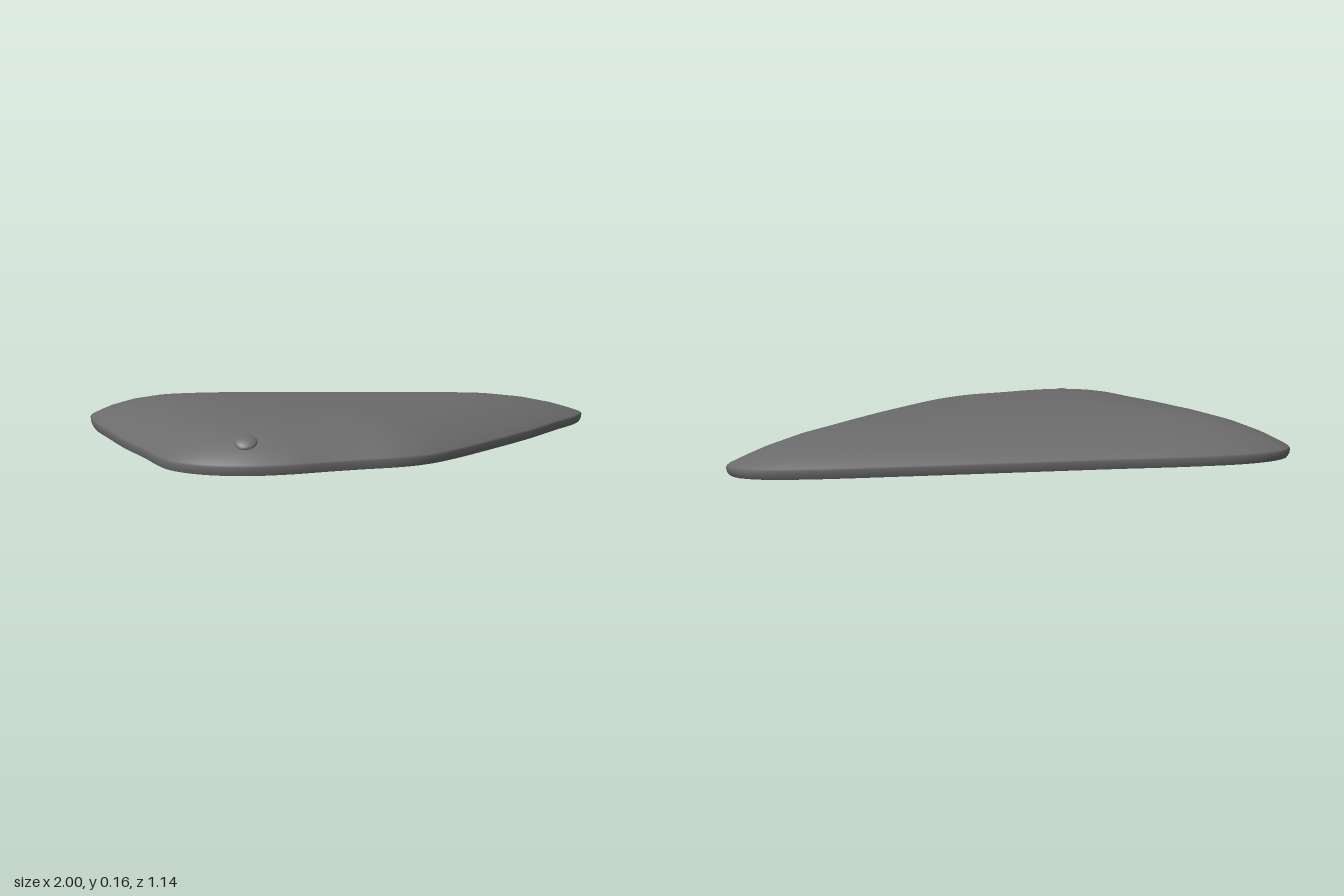
import * as THREE from 'three';

// Plan outline of the shell (x, z), clockwise seen from above
const OUTLINE = [
  [-1, -0.36], [-0.98, -0.42], [-0.92, -0.468], [-0.8, -0.507], [-0.6, -0.527], [-0.3, -0.535],
  [0, -0.548], [0.4, -0.565], [0.75, -0.573], [0.9, -0.555], [0.97, -0.52], [1, -0.47],
  [0.975, -0.39], [0.88, -0.26], [0.75, -0.08], [0.6, 0.1], [0.45, 0.27], [0.36, 0.355],
  [0.26, 0.412], [0.1, 0.46], [0, 0.492], [-0.15, 0.544], [-0.3, 0.57], [-0.45, 0.55],
  [-0.56, 0.49], [-0.62, 0.41], [-0.68, 0.3], [-0.78, 0.14], [-0.88, -0.05], [-0.955, -0.2],
];

// Section from foot to crown: [scale of outline, height]
const SECTION = [
  [0.99, 0], [0.997, 0.012], [1, 0.03], [0.993, 0.037], [0.95, 0.056], [0.9, 0.076], [0.8, 0.106],
  [0.7, 0.126], [0.6, 0.138], [0.5, 0.146], [0.35, 0.153], [0.2, 0.156], [0.08, 0.157], [0, 0.157],
];
const CENTRE = { x: -0.15, z: 0.04 };

function shellGeometry(around = 160) {
  const curve = new THREE.CatmullRomCurve3(
    OUTLINE.map(([x, z]) => new THREE.Vector3(x, 0, z)), true, 'centripetal');
  const ring = curve.getSpacedPoints(around).slice(0, around);
  const pos = [], index = [];
  for (const [s, y] of SECTION) {
    for (const p of ring) {
      pos.push(CENTRE.x + (p.x - CENTRE.x) * s, y, CENTRE.z + (p.z - CENTRE.z) * s);
    }
  }
  for (let i = 0; i < SECTION.length - 1; i++) {
    for (let j = 0; j < around; j++) {
      const k = (j + 1) % around;
      const a = i * around + j, b = i * around + k;
      const c = a + around, d = b + around;
      index.push(a, c, b);
      if (i < SECTION.length - 2) index.push(b, c, d);
    }
  }
  const geo = new THREE.BufferGeometry();
  geo.setAttribute('position', new THREE.Float32BufferAttribute(pos, 3));
  geo.setIndex(index);
  geo.computeVertexNormals();
  // The crown vertices share one point, so they share one normal
  const n = geo.attributes.normal;
  for (let j = 0; j < around; j++) n.setXYZ((SECTION.length - 1) * around + j, 0, 1, 0);
  return geo;
}

export function createModel() {
  const group = new THREE.Group();
  const grey = new THREE.MeshStandardMaterial({ color: 0x6b6b6b, side: THREE.DoubleSide });
  grey.name = 'grey';

  // Hollow domed shell, open underneath
  const shell = new THREE.Mesh(shellGeometry(), grey);
  shell.name = 'shell';
  group.add(shell);

  // Small domed button lying on the front slope
  const button = new THREE.Group();
  button.name = 'button';
  const cap = new THREE.Mesh(
    new THREE.SphereGeometry(0.04, 32, 10, 0, Math.PI * 2, 0, Math.PI / 2), grey);
  cap.name = 'buttonCap';
  cap.scale.y = 0.4;
  const base = new THREE.Mesh(new THREE.CircleGeometry(0.04, 32), grey);
  base.name = 'buttonBase';
  base.rotation.x = Math.PI / 2;
  button.add(cap, base);
  button.position.set(-0.295, 0.1, 0.482);
  button.rotation.x = 0.5;
  group.add(button);

  return group;
}
